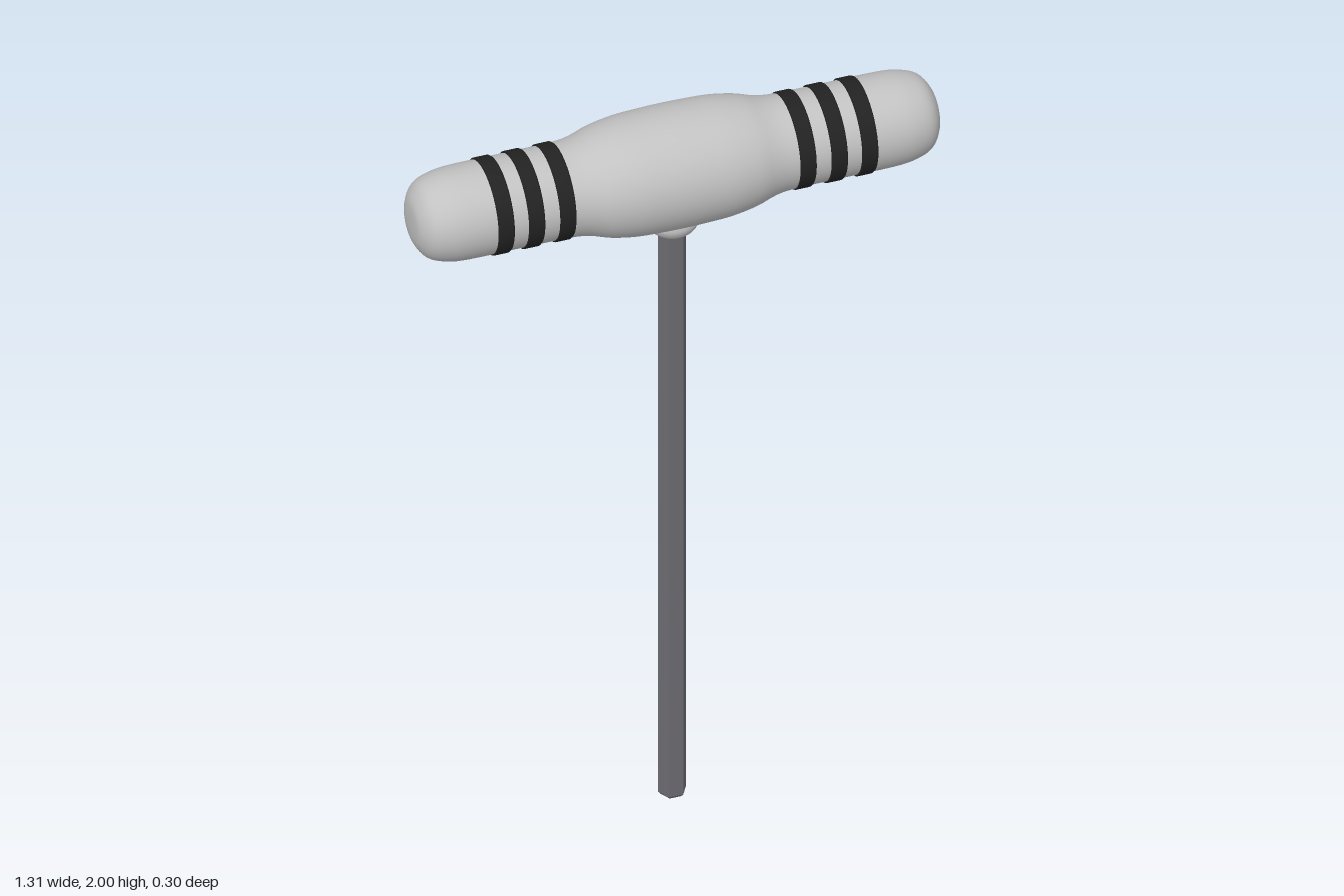
import * as THREE from 'three';

const AXIS_Y = 1.85; // height of the handle's axis

function material(name, color, flatShading = false) {
  const m = new THREE.MeshStandardMaterial({ color, flatShading });
  m.name = name;
  return m;
}

function addMesh(parent, name, geometry, mat) {
  const mesh = new THREE.Mesh(geometry, mat);
  mesh.name = name;
  parent.add(mesh);
  return mesh;
}

const toPoints = (pairs) => pairs.map(([r, y]) => new THREE.Vector2(r, y));

export function createModel() {
  const model = new THREE.Group();
  model.name = 'hexKey';
  const grip = material('light grey grip', 0xc2c2c2);
  const rubber = material('black rubber', 0x222222);
  const steel = material('dark steel', 0x6c6b70, true);

  // Handle: half profile (radius, distance from centre), mirrored and turned
  const half = [
    [0.149, 0.06], [0.146, 0.12], [0.136, 0.18], [0.121, 0.23], [0.115, 0.28],
    [0.114, 0.4], [0.114, 0.53], [0.108, 0.585], [0.092, 0.625], [0.06, 0.648], [0.03, 0.654], [0, 0.655],
  ];
  const profile = [...half.map(([r, y]) => [r, -y]).reverse(), [0.15, 0], ...half];
  const outline = new THREE.SplineCurve(toPoints(profile)).getPoints(96);
  outline.forEach((p) => { p.x = Math.max(p.x, 0); });
  const handle = new THREE.Group();
  handle.name = 'handle';
  handle.position.y = AXIS_Y;
  handle.rotation.z = -Math.PI / 2;
  model.add(handle);
  addMesh(handle, 'handleGrip', new THREE.LatheGeometry(outline, 48), grip);

  // Three rubber rings on each side, with slightly eased edges
  const ring = new THREE.LatheGeometry(toPoints([
    [0.108, -0.02], [0.116, -0.02], [0.118, -0.017], [0.118, 0.017], [0.116, 0.02], [0.108, 0.02],
  ]), 48);
  for (const side of [-1, 1]) {
    for (const offset of [0.3, 0.378, 0.454]) {
      addMesh(handle, 'gripRing', ring, rubber).position.y = side * offset;
    }
  }

  // Rounded collar under the handle
  const collar = new THREE.SplineCurve(toPoints([
    [0.03, 1.662], [0.042, 1.665], [0.057, 1.678], [0.065, 1.695], [0.064, 1.712], [0.058, 1.73],
  ])).getPoints(24);
  addMesh(model, 'collar', new THREE.LatheGeometry([new THREE.Vector2(0, 1.662), ...collar], 32), grip);

  // Hexagonal shaft with corners facing left and right, chamfered at the tip
  const R = 0.035, chamfer = 0.008, top = 1.72;
  const shaft = new THREE.CylinderGeometry(R, R, top - chamfer, 6, 1, true, Math.PI / 6);
  addMesh(model, 'shaft', shaft, steel).position.y = (top + chamfer) / 2;
  const tip = new THREE.CylinderGeometry(R, R - 0.006, chamfer, 6, 1, false, Math.PI / 6);
  addMesh(model, 'shaftTip', tip, steel).position.y = chamfer / 2;

  return model;
}
